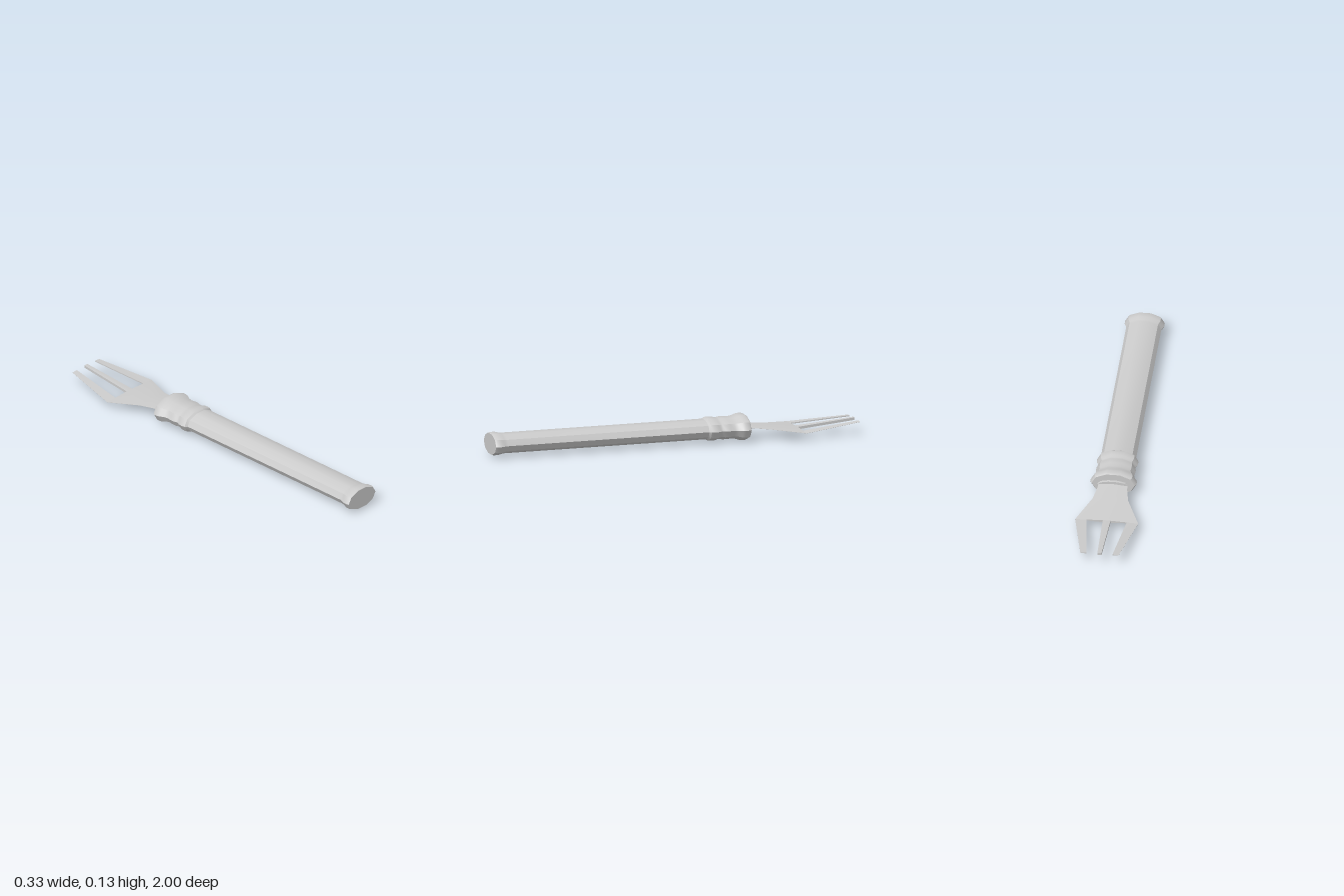
import * as THREE from 'three';
import { toCreasedNormals } from 'three/addons/utils/BufferGeometryUtils.js';

const material = new THREE.MeshStandardMaterial({ color: 0xcccccc });

// Skins rings of [x, y, z] (counter-clockwise seen from +z, running towards -z) and caps both ends
function loft(rings, crease) {
  const n = rings[0].length;
  const index = [];
  for (let i = 0; i < rings.length - 1; i++) {
    for (let j = 0; j < n; j++) {
      const a = i * n + j, b = i * n + (j + 1) % n;
      index.push(a, a + n, b, b, a + n, b + n);
    }
  }
  const last = (rings.length - 1) * n;
  for (let j = 1; j < n - 1; j++) {
    index.push(0, j, j + 1, last, last + j + 1, last + j);
  }
  const geometry = new THREE.BufferGeometry();
  geometry.setAttribute('position', new THREE.Float32BufferAttribute(rings.flat(2), 3));
  geometry.setIndex(index);
  return toCreasedNormals(geometry, crease);
}

// Flattened ten-sided ring
function decagon(z, rx, ry, cy) {
  return Array.from({ length: 10 }, (_, i) => {
    const a = (i / 10) * Math.PI * 2;
    return [rx * Math.cos(a), cy + ry * Math.sin(a), z];
  });
}

// Blade slice: thick in the middle, thinning to an edge at half-width w
function bladeRing(z, y, w, xs) {
  const half = (x) => 0.0005 + 0.007 * (1 - Math.abs(x) / w);
  const bottom = xs.map((x) => [x, y - half(x), z]);
  const top = xs.map((x) => [x, y + half(x), z]).reverse();
  return [...bottom, ...top];
}

export function createModel() {
  const group = new THREE.Group();
  const add = (name, geometry) => {
    const mesh = new THREE.Mesh(geometry, material);
    mesh.name = name;
    group.add(mesh);
  };

  // Handle: flared butt, long shaft and ringed collar as [z, half-width]
  const profile = [
    [1, 0.1], [0.99, 0.104], [0.965, 0.104], [0.945, 0.095], [0.93, 0.092],
    [-0.175, 0.092], [-0.185, 0.105], [-0.2, 0.108], [-0.225, 0.106], [-0.24, 0.098],
    [-0.25, 0.098], [-0.265, 0.103], [-0.29, 0.103], [-0.315, 0.1], [-0.335, 0.105],
    [-0.355, 0.117], [-0.37, 0.121], [-0.39, 0.12], [-0.4, 0.113],
  ];
  add('handle', loft(profile.map(([z, r]) => decagon(z, r, r * 0.566, 0.066)), 0.52));

  // Ferrule between collar and blade
  add('ferrule', loft([decagon(-0.39, 0.082, 0.025, 0.068), decagon(-0.412, 0.08, 0.023, 0.068)], 0.52));

  // Blade root, flaring out to the shoulders
  const root = [[-0.4, 0.07, 0.075], [-0.44, 0.066, 0.078], [-0.52, 0.057, 0.093], [-0.685, 0.04, 0.165]];
  add('bladeRoot', loft(root.map(([z, y, w]) => bladeRing(z, y, w, [-w, 0, w])), 0.2));

  // Tines: x positions across the base and across the tip
  const tine = (name, base, tip) => add(name, loft([
    bladeRing(-0.685, 0.04, 0.165, base),
    bladeRing(-1, 0.067, 0.1, tip),
  ], 0.2));
  tine('centreTine', [-0.02, 0, 0.02], [-0.011, 0, 0.011]);
  tine('leftTine', [0.105, 0.165], [0.068, 0.1]);
  tine('rightTine', [-0.165, -0.105], [-0.1, -0.068]);

  return group;
}
